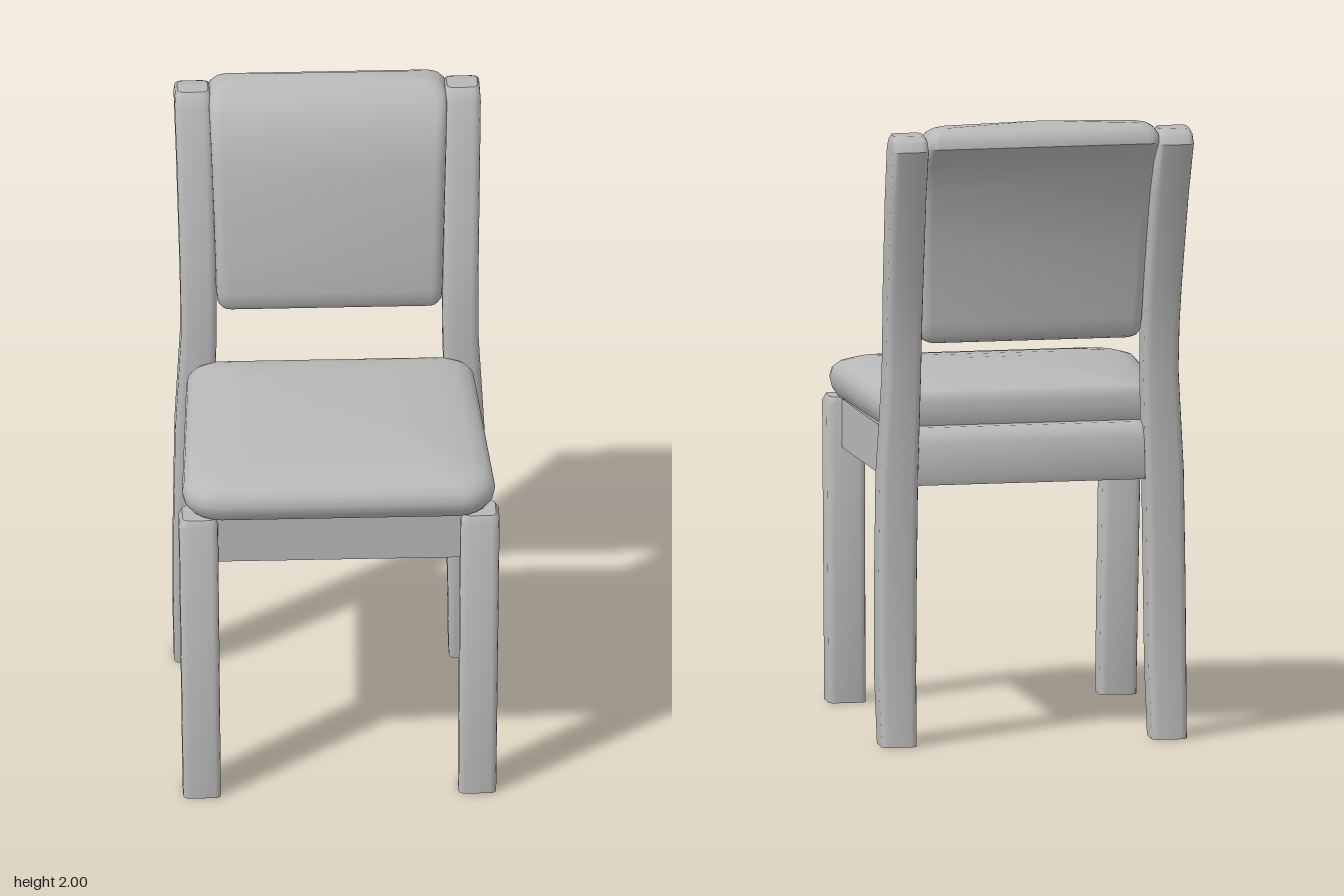
import * as THREE from 'three';
import { toCreasedNormals } from 'three/addons/utils/BufferGeometryUtils.js';

const grey = new THREE.MeshStandardMaterial({ color: 0xb8b8b8 });
grey.name = 'plain grey';

// Loft of rounded rectangles stacked upwards; each section is
// [y, centre x, centre z, width, depth, corner radius, rear corner radius]
function loft(sections, steps = 4, crease = 0.65, warp = null) {
  const pos = [], index = [];
  const n = 4 * (steps + 1);
  for (const [y, cx, cz, w, d, front, rear = front] of sections) {
    for (let q = 0; q < 4; q++) {
      const sx = q === 0 || q === 3 ? 1 : -1;
      const sz = q < 2 ? 1 : -1;
      const r = q < 2 ? front : rear;
      for (let s = 0; s <= steps; s++) {
        const a = (q + s / steps) * Math.PI / 2;
        pos.push(cx + sx * (w / 2 - r) + r * Math.cos(a), y, cz + sz * (d / 2 - r) + r * Math.sin(a));
      }
    }
  }
  const last = sections.length - 1;
  for (let i = 0; i < last; i++) {
    for (let j = 0; j < n; j++) {
      const a = i * n + j, b = i * n + (j + 1) % n;
      index.push(a, a + n, b, b, a + n, b + n);
    }
  }
  // end caps
  const base = pos.length / 3;
  for (const k of [0, last]) pos.push(sections[k][1], sections[k][0], sections[k][2]);
  for (let j = 0; j < n; j++) {
    const k = (j + 1) % n;
    index.push(base, j, k, base + 1, last * n + k, last * n + j);
  }
  const geo = new THREE.BufferGeometry();
  geo.setAttribute('position', new THREE.Float32BufferAttribute(pos, 3));
  geo.setIndex(index);
  if (warp) {
    const p = geo.attributes.position, v = new THREE.Vector3();
    for (let i = 0; i < p.count; i++) {
      warp(v.fromBufferAttribute(p, i));
      p.setXYZ(i, v.x, v.y, v.z);
    }
  }
  return toCreasedNormals(geo, crease);
}

export function createModel() {
  const chair = new THREE.Group();
  chair.name = 'chair';
  const add = (name, geo) => {
    const mesh = new THREE.Mesh(geo, grey);
    mesh.name = name;
    chair.add(mesh);
    return mesh;
  };

  // Legs; the rear ones sweep back at the foot and rise into back posts
  for (const [side, s] of [['left', 1], ['right', -1]]) {
    add(side + 'FrontLeg', loft([
      [0, s * 0.433, 0.521, 0.118, 0.112, 0.018],
      [0.96, s * 0.443, 0.492, 0.122, 0.12, 0.022],
      [0.98, s * 0.443, 0.491, 0.1, 0.1, 0.018],
    ], 3));
    add(side + 'RearLeg', loft([
      [0, s * 0.432, -0.357, 0.112, 0.122, 0.02],
      [0.22, s * 0.432, -0.328, 0.12, 0.124, 0.022],
      [0.5, s * 0.43, -0.321, 0.122, 0.122, 0.022],
      [0.85, s * 0.425, -0.319, 0.122, 0.12, 0.022],
      [1.17, s * 0.412, -0.327, 0.112, 0.118, 0.022],
      [1.32, s * 0.412, -0.341, 0.112, 0.124, 0.022],
      [1.46, s * 0.414, -0.367, 0.113, 0.132, 0.022],
      [1.75, s * 0.42, -0.441, 0.114, 0.142, 0.022],
      [1.92, s * 0.424, -0.502, 0.115, 0.146, 0.022],
      [1.95, s * 0.424, -0.502, 0.11, 0.118, 0.022],
      [1.965, s * 0.424, -0.495, 0.096, 0.075, 0.018],
    ], 3));
    // side rail, following the taper of the seat
    const a = new THREE.Vector2(s * 0.425, 0.47), b = new THREE.Vector2(s * 0.395, -0.3);
    const rail = add(side + 'SideRail', new THREE.BoxGeometry(0.07, 0.155, a.distanceTo(b)));
    rail.position.set((a.x + b.x) / 2, 0.898, (a.y + b.y) / 2);
    rail.rotation.y = Math.atan2(a.x - b.x, a.y - b.y);
  }

  // Front rail, and a rounded rear rail that meets the cushion
  add('frontRail', new THREE.BoxGeometry(0.8, 0.155, 0.06)).position.set(0, 0.898, 0.49);
  add('rearRail', loft([
    [0.82, 0, -0.308, 0.78, 0.07, 0.015],
    [0.84, 0, -0.305, 0.78, 0.088, 0.015],
    [0.955, 0, -0.303, 0.78, 0.088, 0.015],
    [0.985, 0, -0.294, 0.78, 0.066, 0.015],
    [0.997, 0, -0.28, 0.78, 0.04, 0.01],
  ], 3, 0.8));

  // Seat cushion: domed on top, narrower at the back, [y, side, front, back inset]
  const seat = [
    [0.975, 0.05, 0.05, 0.03], [0.985, 0.022, 0.025, 0.012], [1.01, 0.006, 0.008, 0.003],
    [1.04, 0, 0, 0], [1.07, 0.006, 0.012, 0], [1.09, 0.026, 0.036, 0.003],
    [1.104, 0.065, 0.075, 0.01], [1.116, 0.14, 0.16, 0.045], [1.125, 0.22, 0.26, 0.12],
    [1.132, 0.33, 0.37, 0.24],
  ].map(([y, side, front, back]) => {
    const z1 = 0.582 - front, z0 = -0.27 + back;
    return [y, 0, (z0 + z1) / 2, 0.985 - 2 * side, z1 - z0, Math.max(0.06, 0.105 - 0.2 * side), 0.05];
  });
  add('seatCushion', loft(seat, 5, 0.8, (v) => {
    v.x *= 1 - 0.13 * Math.max(0, 0.38 - v.z);
    if (v.z > 0.4) v.z -= 0.06 * v.x * v.x;
  }));

  // Padded backrest, leaning back along the posts
  add('backrest', loft([
    [1.272, 0, -0.318, 0.64, 0.035, 0.016],
    [1.28, 0, -0.317, 0.68, 0.075, 0.03],
    [1.3, 0, -0.316, 0.705, 0.098, 0.035],
    [1.34, 0, -0.318, 0.712, 0.105, 0.035],
    [1.46, 0, -0.332, 0.718, 0.112, 0.035],
    [1.6, 0, -0.354, 0.726, 0.124, 0.035],
    [1.75, 0, -0.388, 0.736, 0.138, 0.035],
    [1.86, 0, -0.428, 0.744, 0.16, 0.035],
    [1.93, 0, -0.484, 0.748, 0.187, 0.035],
    [1.96, 0, -0.497, 0.742, 0.155, 0.035],
    [1.98, 0, -0.502, 0.72, 0.115, 0.035],
    [1.99, 0, -0.502, 0.69, 0.085, 0.03],
    [1.995, 0, -0.502, 0.64, 0.05, 0.02],
  ], 4, 0.9, (v) => {
    // slight crown along the top edge, and a slight outward bow of the back
    if (v.y > 1.9) v.y += (0.05 - 1.4 * v.x * v.x) * (v.y - 1.9);
    if (v.y > 1.8) v.z -= 0.006 * (1 - v.x * v.x / 0.14);
  }));

  return chair;
}
